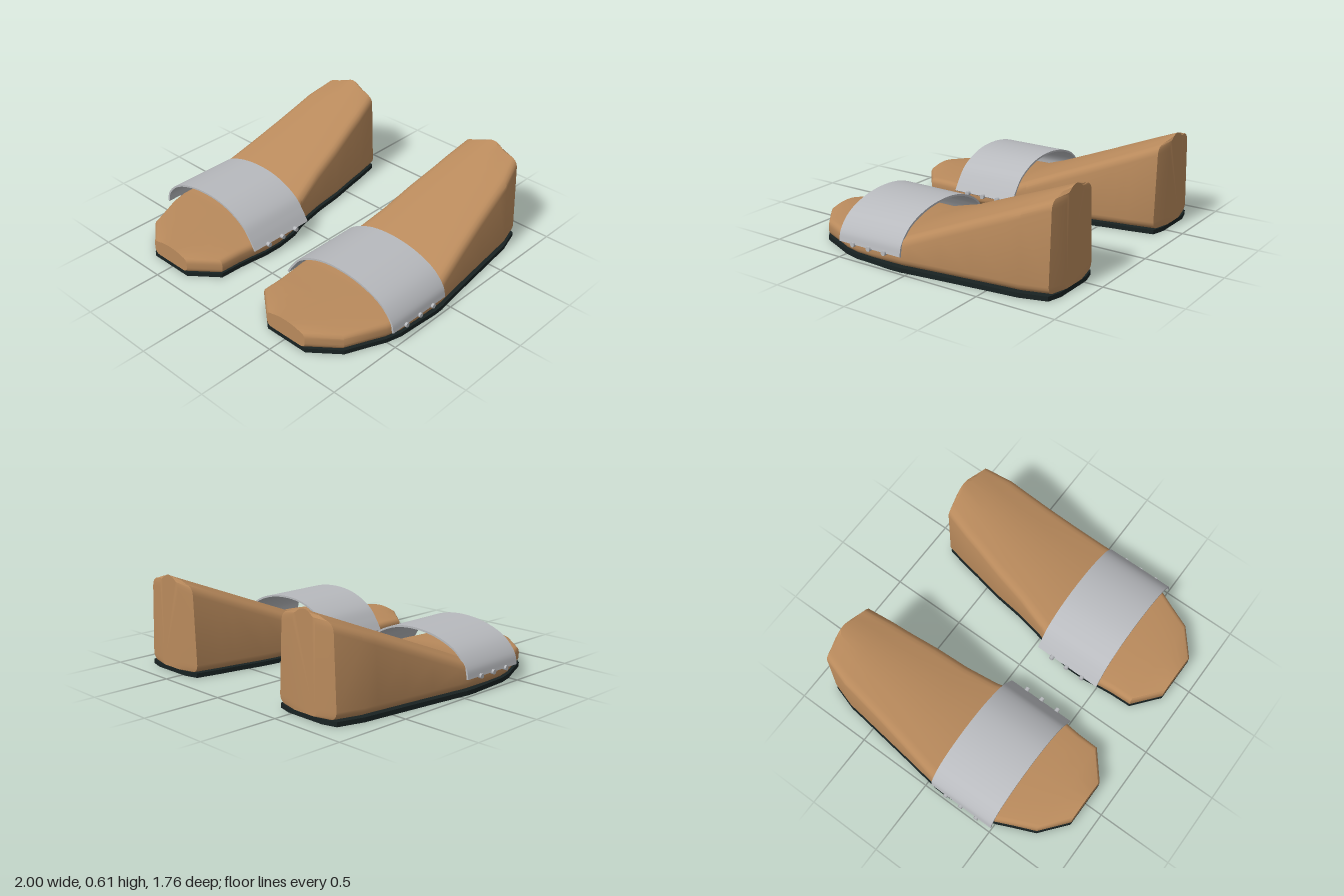
import * as THREE from 'three';
import { toCreasedNormals } from 'three/addons/utils/BufferGeometryUtils.js';

// Plan outline of one shoe, heel to toe: [z, inner x, outer x]
const OUTLINE = [
  [-0.855, 0.38, 0.83], [-0.69, 0.345, 0.88], [-0.6, 0.33, 0.89], [-0.4, 0.29, 0.915],
  [-0.2, 0.265, 0.94], [0, 0.225, 0.967], [0.05, 0.207, 0.975], [0.12, 0.18, 0.977],
  [0.27, 0.157, 0.967], [0.4, 0.157, 0.96], [0.5, 0.17, 0.935], [0.6, 0.18, 0.89],
  [0.74, 0.185, 0.83], [0.88, 0.355, 0.66],
];
const BASE = 0.028;
const topAt = (z) => 0.145 + 0.404 * Math.max(0, 0.27 - z);

// Rounded cross-section with a slightly domed top, counter-clockwise seen from +z
function section(z, inner, outer, squeeze = 1) {
  const c = (inner + outer) / 2, w = (outer - inner) / 2;
  const h = topAt(z) - BASE;
  const dome = Math.min(0.03, h * 0.15), r = Math.min(0.06, h * 0.3), rb = Math.min(0.05, h * 0.3);
  const taper = Math.min(0.02, (h - 0.117) * 0.08);
  const half = [];
  for (let i = 0; i <= 4; i++) {                       // bottom corner
    const a = (i / 4) * Math.PI / 2;
    half.push([w - rb + rb * Math.sin(a), BASE + rb - rb * Math.cos(a)]);
  }
  for (let i = 0; i <= 4; i++) {                       // top corner
    const a = (i / 4) * Math.PI / 2;
    half.push([w - taper - r + r * Math.cos(a), BASE + h - dome - r + r * Math.sin(a)]);
  }
  for (const u of [0.66, 0.33]) half.push([(w - taper - r) * u, BASE + h - dome * u * u]);
  const other = half.map(([x, y]) => [-x, y]).reverse();
  return [...half, [0, BASE + h], ...other].map(([x, y]) => [c + x * squeeze, y, z]);
}

// Skin through equal-length rings running towards +z, with flat end caps
function loft(rings, side) {
  const n = rings[0].length, pos = [], index = [];
  const tri = (a, b, c) => (side > 0 ? index.push(a, b, c) : index.push(a, c, b));
  rings.forEach((ring) => ring.forEach(([x, y, z]) => pos.push(x * side, y, z)));
  for (let k = 0; k < rings.length - 1; k++) {
    for (let i = 0; i < n; i++) {
      const a = k * n + i, b = k * n + (i + 1) % n;
      tri(a, b, b + n);
      tri(a, b + n, a + n);
    }
  }
  const last = (rings.length - 1) * n;
  for (let i = 1; i < n - 1; i++) {
    tri(0, i + 1, i);
    tri(last, last + i, last + i + 1);
  }
  const g = new THREE.BufferGeometry();
  g.setAttribute('position', new THREE.Float32BufferAttribute(pos, 3));
  g.setIndex(index);
  return toCreasedNormals(g, 0.5);
}

// Wedge footbed and heel in one piece
function footbedGeometry(side) {
  const rings = OUTLINE.map(([z, a, b]) => section(z, a, b));
  const back = section(-0.855, 0.38, 0.83, 0.45).map(([x, y]) => [x, y, -0.88]);
  back.forEach((p) => { if (p[1] > 0.5) p[1] += 0.012; });
  return loft([back, ...rings], side);
}

// Thin flat outsole
function soleGeometry(side) {
  const heel = [[-0.88, 0.47, 0.74]];
  const rows = [...heel, ...OUTLINE];
  const pts = [
    ...rows.map(([z, a]) => new THREE.Vector2((a + 0.005) * side, -z)),
    ...rows.slice().reverse().map(([z, , b]) => new THREE.Vector2((b + 0.003) * side, -z)),
  ];
  const g = new THREE.ExtrudeGeometry(new THREE.Shape(pts), { depth: 0.028, bevelEnabled: false });
  return g.rotateX(-Math.PI / 2);
}

// Curved band over the forefoot
function strapGeometry(side) {
  const path = new THREE.CatmullRomCurve3([
    [0.988, 0.097], [0.973, 0.16], [0.895, 0.248], [0.75, 0.31], [0.57, 0.333],
    [0.4, 0.312], [0.25, 0.24], [0.185, 0.165], [0.142, 0.097],
  ].map(([x, y]) => new THREE.Vector3(x, y, 0)));
  const outer = [], inner = [], t = 0.012;
  for (let i = 0; i <= 36; i++) {
    const p = path.getPoint(i / 36), d = path.getTangent(i / 36);
    outer.push(new THREE.Vector2(p.x * side, p.y));
    inner.push(new THREE.Vector2((p.x - d.y * t) * side, p.y + d.x * t));
  }
  const shape = new THREE.Shape([...outer, ...inner.reverse()]);
  const g = new THREE.ExtrudeGeometry(shape, { depth: 0.46, bevelEnabled: false });
  return toCreasedNormals(g.translate(0, 0, 0.045), 0.5);
}

export function createModel() {
  const tan = new THREE.MeshStandardMaterial({ name: 'tan leather', color: 0xb98a5c });
  const grey = new THREE.MeshStandardMaterial({ name: 'light grey', color: 0xb8babe });
  const black = new THREE.MeshStandardMaterial({ name: 'black rubber', color: 0x182222 });
  const model = new THREE.Group();
  model.name = 'wedgeSandals';

  const studGeometry = new THREE.CylinderGeometry(0.015, 0.015, 0.024, 12).rotateZ(Math.PI / 2);

  for (const side of [1, -1]) {
    const shoe = new THREE.Group();
    shoe.name = side > 0 ? 'leftSandal' : 'rightSandal';
    const add = (name, geometry, material) => {
      const mesh = new THREE.Mesh(geometry, material);
      mesh.name = name;
      shoe.add(mesh);
      return mesh;
    };
    add('footbed', footbedGeometry(side), tan);
    add('sole', soleGeometry(side), black);
    add('strap', strapGeometry(side), grey);
    // Studs along both lower edges of the strap
    for (const z of [0.16, 0.275, 0.395]) {
      for (const x of [0.988, 0.135]) {
        add('strapStud', studGeometry, grey).position.set(x * side, 0.098, z);
      }
    }
    model.add(shoe);
  }
  return model;
}
